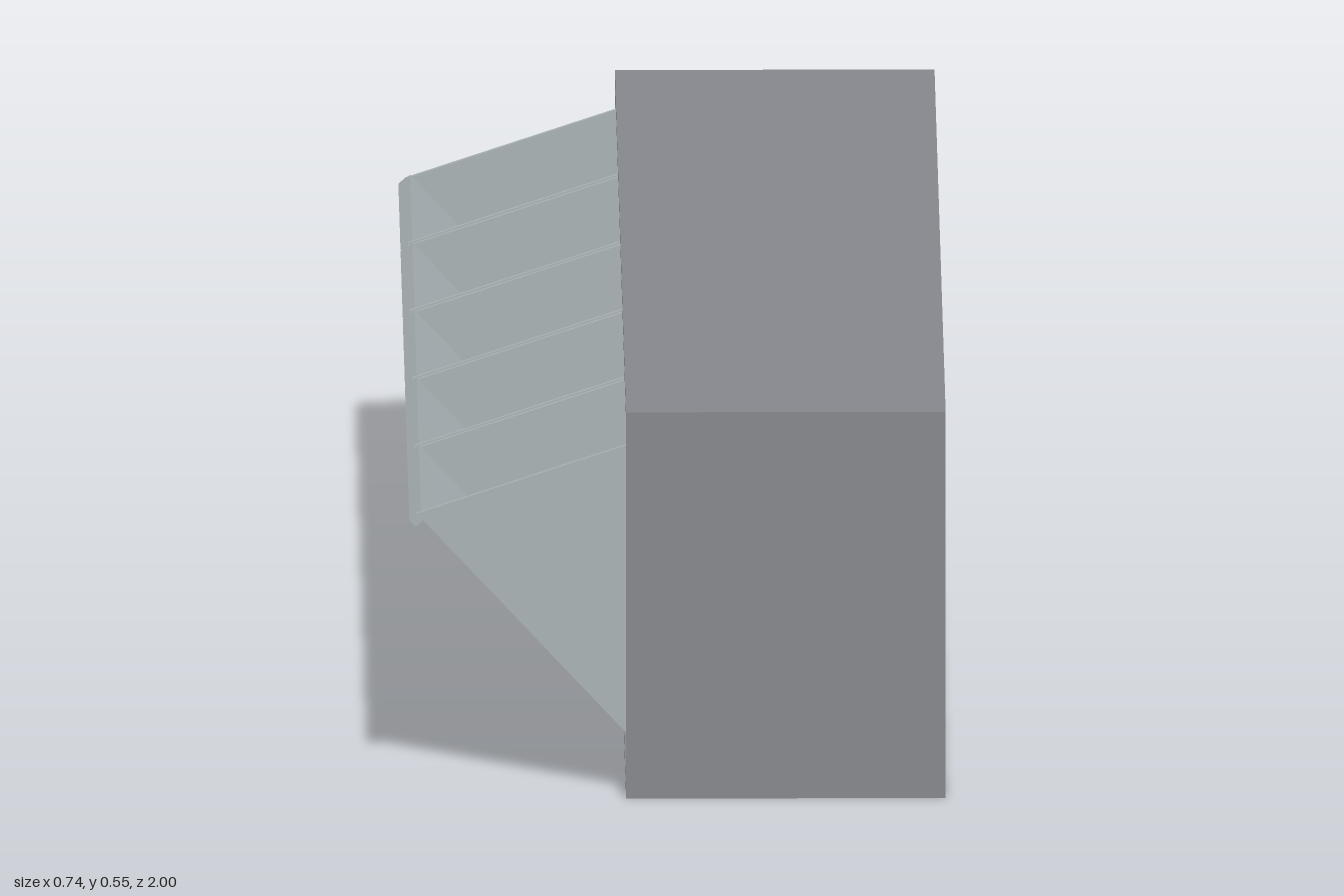
import * as THREE from 'three';

const X0 = -0.07, X1 = 0.37, H = 0.547, WALL = 0.012;
const PITCH = 0.395, BIN_W = 0.386, T = 0.008;

export function createModel() {
  const model = new THREE.Group();
  model.name = 'tiltBinCabinet';

  const caseGrey = new THREE.MeshStandardMaterial({ color: 0x86878c });
  caseGrey.name = 'caseGrey';
  const binGrey = new THREE.MeshStandardMaterial({ color: 0xa8b1b4 });
  binGrey.name = 'binGrey';

  // Box given by its minimum and maximum corners
  function block(parent, name, mat, a, b) {
    const geo = new THREE.BoxGeometry(b[0] - a[0], b[1] - a[1], b[2] - a[2]);
    geo.translate((a[0] + b[0]) / 2, (a[1] + b[1]) / 2, (a[2] + b[2]) / 2);
    const mesh = new THREE.Mesh(geo, mat);
    mesh.name = name;
    parent.add(mesh);
  }

  // Open-sided cabinet shell
  const shell = new THREE.Group();
  shell.name = 'cabinet';
  model.add(shell);
  block(shell, 'floor', caseGrey, [X0, 0, -1], [X1, WALL, 1]);
  block(shell, 'roof', caseGrey, [X0, H - WALL, -1], [X1, H, 1]);
  block(shell, 'backWall', caseGrey, [X1 - WALL, WALL, -1], [X1, H - WALL, 1]);
  for (const s of [-1, 1]) {
    const z = s * (1 - WALL / 2);
    block(shell, 'endWall', caseGrey, [X0, WALL, z - WALL / 2], [X1 - WALL, H - WALL, z + WALL / 2]);
  }

  // Dividers between the compartments
  for (const i of [-1.5, -0.5, 0.5, 1.5]) {
    const z = i * PITCH;
    block(shell, 'divider', caseGrey, [X0 + 0.001, WALL, z - 0.003], [X1 - WALL, H - WALL, z + 0.003]);
  }

  // Extrude an x-y outline along z, centred on z = 0
  function slab(points, width) {
    const shape = new THREE.Shape(points.map(p => new THREE.Vector2(p[0], p[1])));
    const geo = new THREE.ExtrudeGeometry(shape, { depth: width, bevelEnabled: false });
    return geo.translate(0, 0, -width / 2);
  }

  // Bin profile tilted out about its lower front edge
  const frontTop = [-0.358, 0.4], frontLow = [0.0, 0.014];
  const backLow = [0.279, 0.273], backTop = [0.04, 0.533];
  const along = (p, d, n) => [p[0] + d[0] * n, p[1] + d[1] * n];
  const down = [0.68, -0.733], inward = [0.733, 0.68];

  const sideGeo = slab([frontTop, frontLow, backLow, backTop], T);
  const plate = (a, b, dir) => slab([a, b, along(b, dir, T), along(a, dir, T)], BIN_W - 2 * T);
  const up = [-down[0], -down[1]], outward = [-inward[0], -inward[1]];
  const plates = {
    frontPanel: plate(frontTop, frontLow, inward),
    bottomPanel: plate(frontLow, backLow, up),
    backPanel: plate(backLow, backTop, outward),
  };
  // Pull strip along the upper outer edge
  const lipRoot = along(frontTop, down, 0.013);
  const lipGeo = slab([frontTop, along(frontTop, outward, 0.014), along(lipRoot, outward, 0.014), lipRoot], BIN_W);

  // Five open-topped bins
  for (let i = -2; i <= 2; i++) {
    const bin = new THREE.Group();
    bin.name = 'bin';
    bin.position.z = i * PITCH;
    const add = (name, geo, z = 0) => {
      const mesh = new THREE.Mesh(geo, binGrey);
      mesh.name = name;
      mesh.position.z = z;
      bin.add(mesh);
    };
    for (const s of [-1, 1]) add('binSide', sideGeo, s * (BIN_W - T) / 2);
    for (const name in plates) add(name, plates[name]);
    add('pullLip', lipGeo);
    model.add(bin);
  }
  return model;
}
